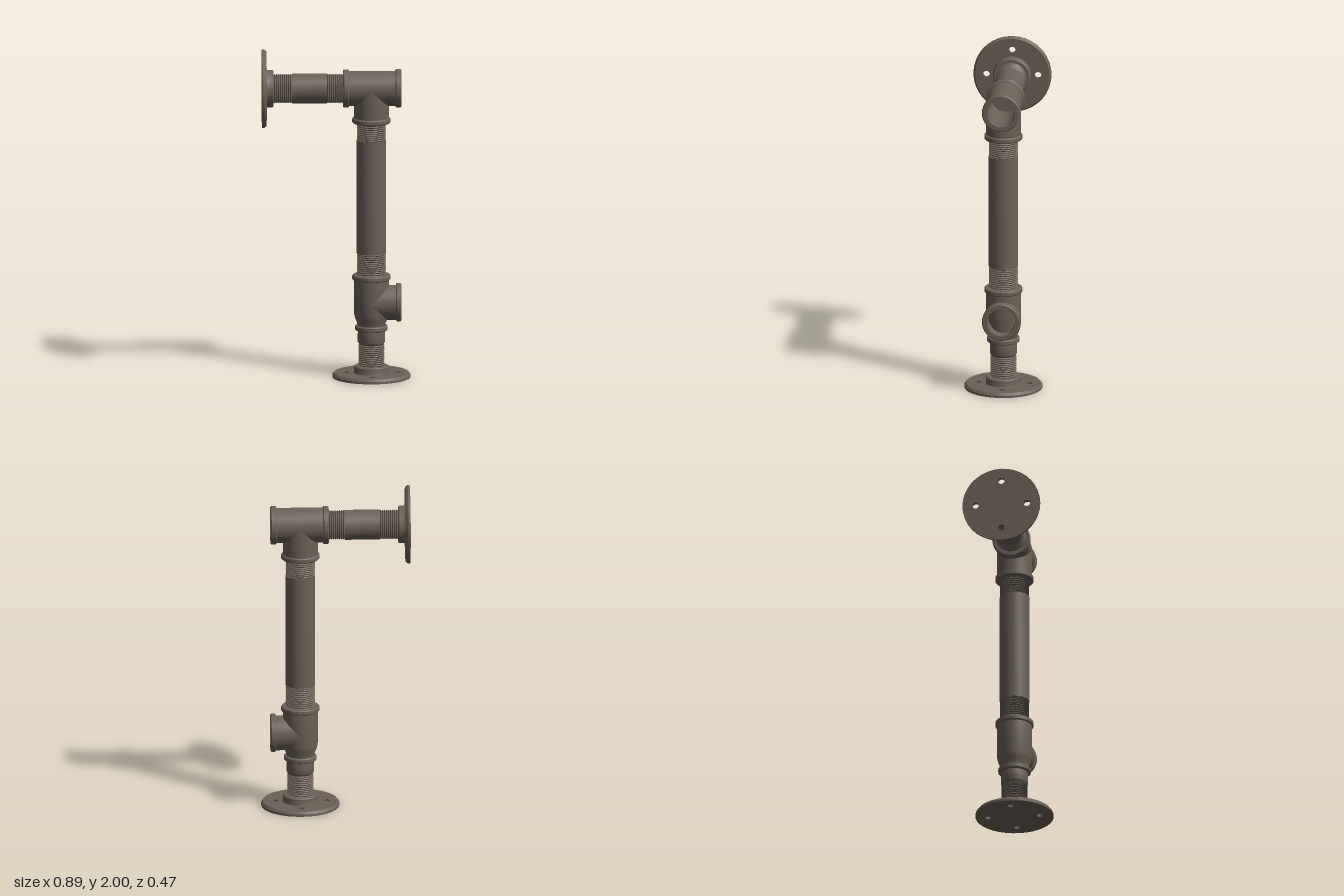
import * as THREE from 'three';
import { toCreasedNormals } from 'three/addons/utils/BufferGeometryUtils.js';

const iron = new THREE.MeshStandardMaterial({ color: 0x6b6158 });
iron.name = 'dark iron';

const POST_X = 0.21, ARM_Y = 1.765, OUTLET_Y = 0.455;
const BODY_R = 0.105, BAND_R = 0.115, BORE_R = 0.085;

function part(name, geometry) {
  const mesh = new THREE.Mesh(toCreasedNormals(geometry, 0.6), iron);
  mesh.name = name;
  return mesh;
}

// profile is a list of [radius, height], turned about y
function lathe(profile) {
  return new THREE.LatheGeometry(profile.map(([r, y]) => new THREE.Vector2(r, y)), 36);
}

// raised band with chamfered rims
function band(r, y0, y1, inner) {
  const c = 0.006;
  return [[inner, y0], [r - c, y0], [r, y0 + c], [r, y1 - c], [r - c, y1], [inner, y1]];
}

// sawtooth rows between two heights
function thread(r, y0, y1) {
  const rows = Math.round((y1 - y0) / 0.012), step = (y1 - y0) / rows, points = [];
  for (let i = 0; i < rows; i++) {
    points.push([r - 0.007, y0 + i * step], [r, y0 + (i + 0.5) * step]);
  }
  points.push([r - 0.007, y1]);
  return points;
}

// pipe threaded at both ends
function pipe(name, r, y0, y1, low, high) {
  return part(name, lathe([
    [0, y0], ...thread(r - 0.001, y0, y0 + low), [r, y0 + low],
    [r, y1 - high], ...thread(r - 0.001, y1 - high, y1), [0, y1],
  ]));
}

// round plate with four screw holes, bevelled rim and a collar, rising along y
function flange(name, collarR) {
  const group = new THREE.Group();
  group.name = name;
  const R = 0.235, shape = new THREE.Shape().absarc(0, 0, R, 0, Math.PI * 2);
  for (let i = 0; i < 4; i++) {
    const a = i * Math.PI / 2;
    shape.holes.push(new THREE.Path().absarc(0.155 * Math.cos(a), 0.155 * Math.sin(a), 0.02, 0, Math.PI * 2, true));
  }
  const plate = new THREE.ExtrudeGeometry(shape, { depth: 0.027, steps: 2, bevelEnabled: false, curveSegments: 18 });
  const p = plate.attributes.position;
  for (let i = 0; i < p.count; i++) {
    if (p.getZ(i) > 0.02 && Math.hypot(p.getX(i), p.getY(i)) > 0.2) {
      p.setXY(i, p.getX(i) * 0.955, p.getY(i) * 0.955);
    }
  }
  plate.rotateX(-Math.PI / 2);
  group.add(part('flangePlate', plate));
  group.add(part('flangeCollar', lathe([
    [collarR + 0.004, 0.024], [collarR, 0.034], [collarR, 0.064], [collarR - 0.006, 0.07], [0, 0.07],
  ])));
  return group;
}

// tee side outlet along +y, its root cut to sit on a body running along x
function outlet(name, profile) {
  const geometry = lathe([[BODY_R, 0], ...profile]);
  const p = geometry.attributes.position, sink = 0.086;
  for (let i = 0; i < p.count; i++) {
    if (p.getY(i) === 0) p.setY(i, Math.sqrt(Math.max(0, sink ** 2 - p.getZ(i) ** 2)));
  }
  return part(name, geometry);
}

// post: everything standing on the floor flange
function buildPost() {
  const post = new THREE.Group();
  post.name = 'post';
  post.position.x = POST_X;
  post.add(flange('floorFlange', 0.105));
  post.add(part('nipple', lathe([
    [0, 0.06], ...thread(0.079, 0.06, 0.2), [0.082, 0.215], [0.082, 0.265], [0.079, 0.3], [0, 0.3],
  ])));
  post.add(part('lowerTeeBody', lathe([
    ...band(0.098, 0.285, 0.317, 0.084).map(([r, y], i) => [i === 0 ? 0 : r, y]),
    [0.086, 0.33], [0.098, 0.36], [BODY_R, 0.39],
    ...band(BAND_R, 0.595, 0.627, BODY_R).slice(0, 5), [0, 0.627],
  ])));
  const side = outlet('lowerTeeOutlet', [
    ...band(BAND_R, 0.147, 0.18, BODY_R).slice(0, 5), [BORE_R, 0.18],
    [BORE_R, 0.085], [BORE_R - 0.003, 0.01], [0, 0.01],
  ]);
  side.position.y = OUTLET_Y;
  side.rotation.z = -Math.PI / 2;
  post.add(side);
  post.add(pipe('postPipe', 0.089, 0.62, 1.57, 0.14, 0.12));
  // downward outlet of the upper tee
  const down = outlet('upperTeeOutlet', [
    ...band(BAND_R, 0.178, 0.21, BODY_R).slice(0, 5), [0.08, 0.21],
  ]);
  down.position.y = ARM_Y;
  down.rotation.z = Math.PI;
  post.add(down);
  return post;
}

// arm: wall flange, pipe and open-ended tee, built along y then laid along x
function buildArm() {
  const arm = new THREE.Group();
  arm.name = 'arm';
  arm.position.set(-0.447, ARM_Y, 0);
  arm.rotation.z = -Math.PI / 2;
  arm.add(flange('wallFlange', 0.112));
  arm.add(pipe('armPipe', 0.09, 0.06, 0.5, 0.12, 0.11));
  arm.add(part('upperTeeBody', lathe([
    [0.08, 0.487], ...band(BAND_R, 0.487, 0.522, BODY_R).slice(1),
    ...band(BAND_R, 0.8, 0.837, BODY_R).slice(0, 5),
    [BORE_R, 0.837], [BORE_R, 0.51], [0, 0.51],
  ])));
  return arm;
}

export function createModel() {
  const model = new THREE.Group();
  model.name = 'pipeBracket';
  model.add(buildPost(), buildArm());
  return model;
}
